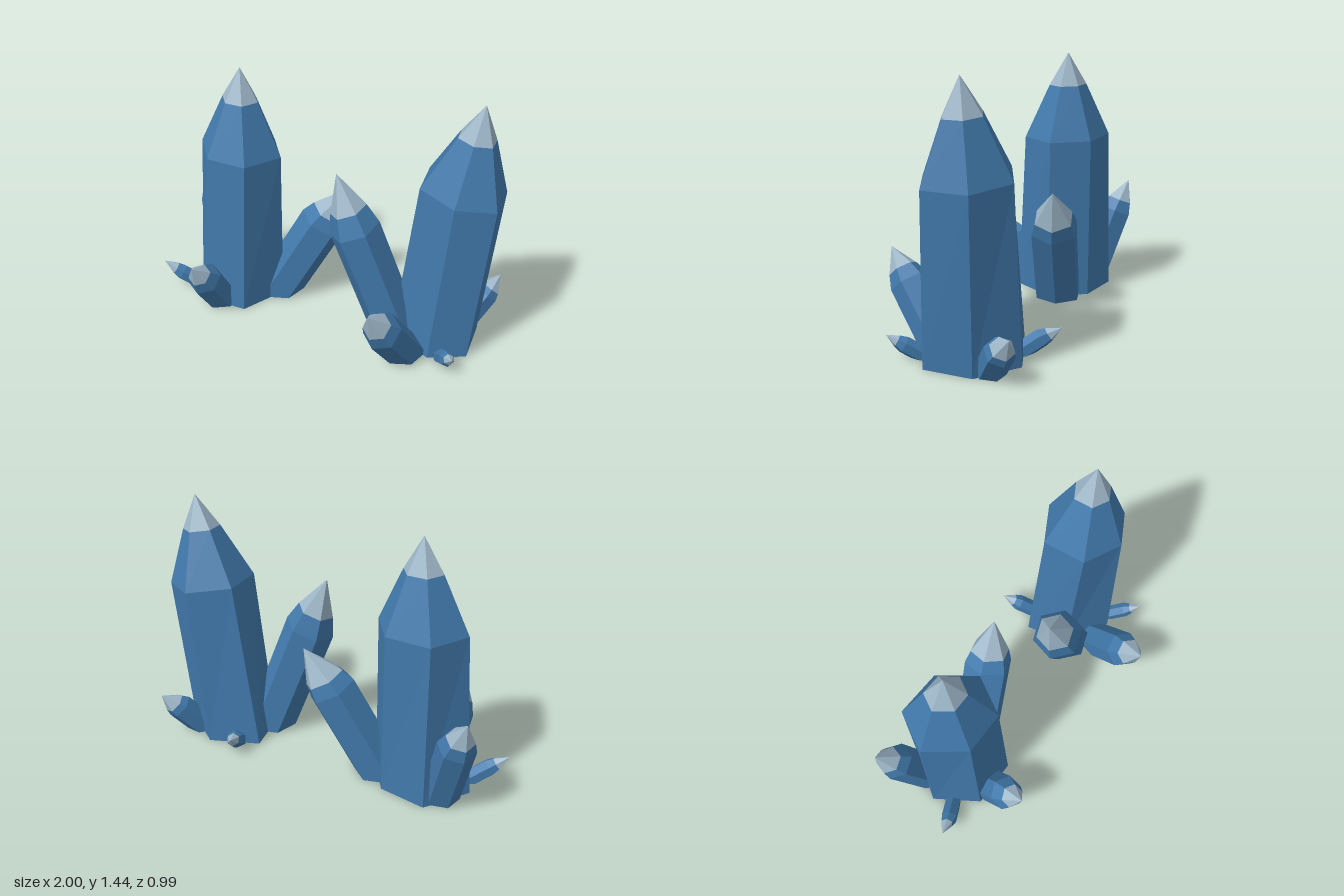
import * as THREE from 'three';

const blue = new THREE.MeshStandardMaterial({ name: 'crystalBlue', color: 0x4179ab });
const pale = new THREE.MeshStandardMaterial({ name: 'paleTip', color: 0x9db6c8 });

const V = (p) => new THREE.Vector3(...p);
const centreOf = (ring) => ring.reduce((s, p) => s.add(p), new THREE.Vector3()).divideScalar(ring.length);

// Flat-faced skin over rings listed from bottom to top (counter-clockwise from above)
function loft(rings, material, name) {
  const pts = [];
  for (let r = 0; r < rings.length - 1; r++) {
    const a = rings[r], b = rings[r + 1], n = a.length;
    for (let i = 0; i < n; i++) {
      const j = (i + 1) % n;
      pts.push(a[i], a[j], b[j], a[i], b[j], b[i]);
    }
  }
  const geometry = new THREE.BufferGeometry().setFromPoints(pts);
  geometry.computeVertexNormals();
  const mesh = new THREE.Mesh(geometry, material);
  mesh.name = name;
  return mesh;
}

// Crystal: base ring, shoulder ring, narrowing crown and pale pointed tip
function crystal(name, base, shoulder, apex, t) {
  const group = new THREE.Group();
  group.name = name;
  const c = centreOf(shoulder);
  const mid = c.clone().lerp(apex, t);
  const scale = (1 - t) * 1.15;
  const crown = shoulder.map((p) => p.clone().sub(c).multiplyScalar(scale).add(mid));
  const point = (p) => base.map(() => p);
  group.add(
    loft([point(centreOf(base)), base, shoulder, crown], blue, 'crystalBody'),
    loft([crown, point(apex)], pale, 'crystalTip'),
  );
  return group;
}

// Leaning hexagonal shard, cut off flat at the ground
function shard(name, foot, neck, apex, radius, t) {
  const c = V(neck);
  const axis = c.clone().sub(V(foot)).normalize();
  const u = new THREE.Vector3(axis.x, 0, axis.z);
  u.addScaledVector(axis, -u.dot(axis)).normalize();
  const w = axis.clone().cross(u);
  const shoulder = [], base = [];
  for (let i = 0; i < 6; i++) {
    const a = (i * Math.PI) / 3;
    const p = c.clone().addScaledVector(u, radius * Math.cos(a)).addScaledVector(w, radius * Math.sin(a));
    shoulder.push(p);
    base.push(p.clone().addScaledVector(axis, -p.y / axis.y));
  }
  return crystal(name, base, shoulder, V(apex), t);
}

export function createModel() {
  const model = new THREE.Group();
  model.name = 'crystalClusters';

  // Cluster on the right-hand side of the model (-x)
  const right = new THREE.Group();
  right.name = 'rightCluster';
  right.add(
    crystal('rightMainCrystal',
      [[-0.85, 0, -0.11], [-0.70, 0, 0.14], [-0.42, 0, 0.15], [-0.28, 0, -0.11], [-0.41, 0, -0.31], [-0.68, 0, -0.35]].map(V),
      [[-0.79, 0.95, -0.12], [-0.64, 0.945, 0.09], [-0.40, 0.94, 0.10], [-0.275, 0.935, -0.11], [-0.41, 0.94, -0.31], [-0.67, 0.95, -0.33]].map(V),
      V([-0.52, 1.44, -0.12]), 0.62),
    shard('innerShard', [-0.33, 0, -0.15], [-0.06, 0.50, -0.23], [0.09, 0.735, -0.28], 0.14, 0.28),
    shard('frontShard', [-0.59, 0, 0.09], [-0.605, 0.25, 0.27], [-0.615, 0.385, 0.39], 0.1, 0.4),
    shard('backShard', [-0.72, 0, -0.21], [-0.84, 0.43, -0.33], [-0.91, 0.615, -0.39], 0.105, 0.35),
    shard('outerShard', [-0.79, 0, 0], [-0.90, 0.085, 0.055], [-1.0, 0.165, 0.09], 0.05, 0.35),
  );

  // Cluster on the left-hand side of the model (+x)
  const left = new THREE.Group();
  left.name = 'leftCluster';
  left.add(
    crystal('leftMainCrystal',
      [[0.42, 0, -0.27], [0.47, 0, -0.01], [0.73, 0, 0.147], [0.93, 0, 0.05], [0.92, 0, -0.22], [0.70, 0, -0.38]].map(V),
      [[0.56, 0.975, -0.26], [0.58, 0.97, -0.01], [0.80, 0.945, 0.10], [1.0, 0.92, 0.0], [0.995, 0.92, -0.25], [0.79, 0.945, -0.38]].map(V),
      V([0.86, 1.44, -0.14]), 0.62),
    shard('innerShard', [0.495, 0, -0.02], [0.245, 0.68, 0.05], [0.135, 1.0, 0.06], 0.145, 0.36),
    shard('frontShard', [0.60, 0, 0.14], [0.53, 0.28, 0.36], [0.49, 0.45, 0.495], 0.11, 0.36),
    shard('backShard', [0.55, 0, -0.29], [0.50, 0.085, -0.40], [0.463, 0.14, -0.495], 0.05, 0.35),
    shard('outerBackShard', [0.82, 0, -0.26], [0.92, 0.165, -0.365], [0.985, 0.26, -0.445], 0.08, 0.3),
    shard('outerFrontShard', [0.79, 0, 0.10], [0.855, 0.075, 0.20], [0.90, 0.13, 0.275], 0.045, 0.4),
  );

  model.add(right, left);
  return model;
}
